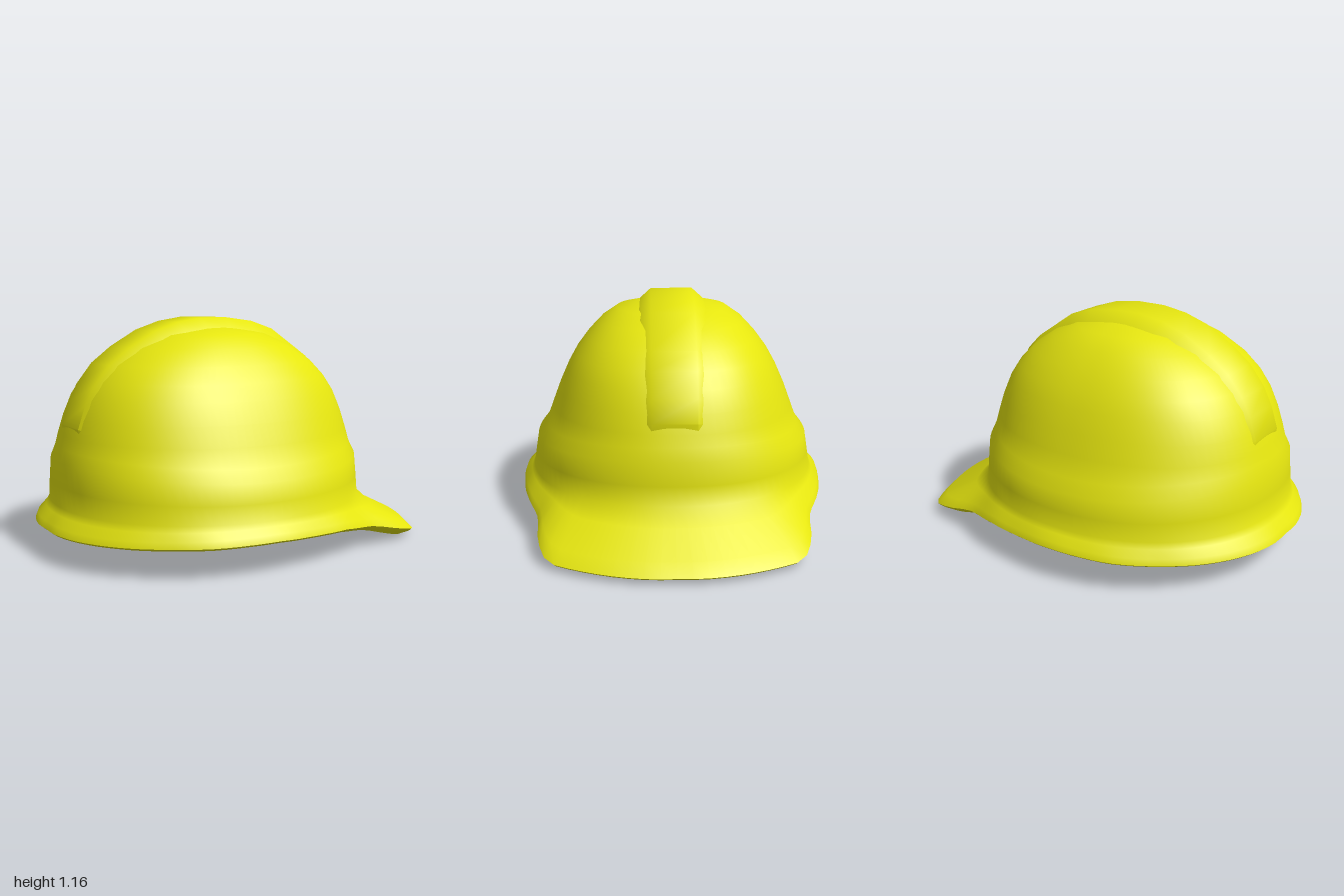
import * as THREE from 'three';
import { toCreasedNormals } from 'three/addons/utils/BufferGeometryUtils.js';

const CX = -0.12; // centre of the dome along x
const SEG = 96;

// Linear lookup in a list of [key, value] pairs
function lookup(table, k) {
  if (k <= table[0][0]) return table[0][1];
  for (let i = 1; i < table.length; i++) {
    const [k0, v0] = table[i - 1], [k1, v1] = table[i];
    if (k <= k1) return v0 + (v1 - v0) * (k - k0) / (k1 - k0);
  }
  return table[table.length - 1][1];
}

// Half outline of brim and peak, seen from above: [x, z]
const outline = [
  [1, 0], [1, 0.12], [0.97, 0.28], [0.92, 0.42], [0.85, 0.56], [0.8, 0.61], [0.68, 0.653],
  [0.5, 0.668], [0.4, 0.702], [0.25, 0.757], [0.1, 0.787], [0, 0.8], [-0.18, 0.81], [-0.33, 0.79],
  [-0.48, 0.75], [-0.67, 0.635], [-0.8, 0.525], [-0.9, 0.395], [-0.97, 0.25], [-1, 0.12], [-1, 0],
];
const brimRadius = outline.map(([x, z]) => [Math.atan2(z, x - CX), Math.hypot(x - CX, z)]);

// Height of the brim edge along x
const brimHeight = [[-1, 0.148], [-0.18, 0.166], [0.25, 0.152], [0.5, 0.117], [0.7, 0.07], [0.85, 0.036], [1, 0.034]];

// Dome levels: [y, back x, front x, half width, roundness, rise at front and back]
const levels = [
  [1.12, CX, CX, 0, 2, 0], [1.112, -0.27, 0.03, 0.17, 2.2, 0], [1.08, -0.42, 0.19, 0.29, 2.3, 0],
  [1.02, -0.565, 0.32, 0.375, 2.35, 0], [0.94, -0.685, 0.44, 0.45, 2.35, 0],
  [0.86, -0.75, 0.522, 0.51, 2.35, 0], [0.78, -0.805, 0.575, 0.555, 2.3, 0],
  [0.68, -0.848, 0.618, 0.6, 2.25, 0], [0.58, -0.876, 0.648, 0.638, 2.2, 0.01],
  [0.48, -0.893, 0.664, 0.675, 2.15, 0.05], [0.42, -0.918, 0.68, 0.722, 2.15, 0.05],
  [0.33, -0.925, 0.688, 0.737, 2.15, 0.02], [0.25, -0.93, 0.692, 0.75, 2.15, 0],
];

// Radius of a dome level in direction t, shrunk by an inset
function domeRadius([, back, front, width, n], t, inset = 0) {
  const a = (front - back) / 2 - inset, b = width - inset;
  if (a <= 0 || b <= 0) return 0;
  return (Math.abs(Math.cos(t) / a) ** n + Math.abs(Math.sin(t) / b) ** n) ** (-1 / n);
}

// One section of the shell from outer crown, over the brim, to inner crown: [radius, y]
function section(t) {
  const folded = Math.abs(Math.atan2(Math.sin(t), Math.cos(t)));
  const rDome = domeRadius(levels[levels.length - 1], t), rEdge = lookup(brimRadius, folded);
  const edgeY = lookup(brimHeight, CX + rEdge * Math.cos(t));
  const reach = rEdge - rDome;
  const pts = levels.map((l) => [domeRadius(l, t), l[0] + l[5] * Math.cos(t) ** 2]);
  // flare, rounded top, edge and underside of the brim
  const topY = edgeY + 0.025 + 0.1 * Math.min(reach, 0.3);
  pts.push([rDome + reach * 0.25, topY + (0.25 - topY) * 0.55]);
  pts.push([rDome + reach * 0.82, topY]);
  pts.push([rEdge, edgeY]);
  pts.push([rEdge - 0.012, edgeY - 0.01]);
  pts.push([rEdge - 0.045 - reach * 0.1, edgeY - 0.02 - reach * 0.04]);
  pts.push([rDome + reach * 0.25 - 0.02, topY + (0.25 - topY) * 0.4 - 0.02]);
  pts.push([rDome - 0.025, 0.235]);
  // smooth lining without the step of the headband
  for (let i = levels.length - 4; i > 0; i--) pts.push([domeRadius(levels[i], t, 0.022), levels[i][0] - 0.022]);
  pts.push([0, 1.095]);
  return pts;
}

// Joins a grid of points, rows of equal length, into a surface
function gridGeometry(rows, crease) {
  const pos = [], index = [], n = rows[0].length;
  rows.forEach((row) => row.forEach((p) => pos.push(...p)));
  for (let j = 0; j < rows.length - 1; j++) {
    for (let i = 0; i < n - 1; i++) {
      const a = j * n + i, b = a + n;
      index.push(a, b, a + 1, a + 1, b, b + 1);
    }
  }
  const geo = new THREE.BufferGeometry();
  geo.setAttribute('position', new THREE.Float32BufferAttribute(pos, 3));
  geo.setIndex(index);
  return toCreasedNormals(geo, crease);
}

// Crown line of the ridge, back to front, fading into the dome at both ends: [x, y]
const ridgeLine = [
  [-0.85, 0.55], [-0.868, 0.64], [-0.831, 0.75], [-0.785, 0.84], [-0.705, 0.94], [-0.6, 1.02],
  [-0.46, 1.1], [-0.33, 1.143], [-0.2, 1.163], [-0.05, 1.163], [0.1, 1.143], [0.23, 1.1], [0.45, 0.95],
  [0.53, 0.87], [0.597, 0.75], [0.635, 0.64], [0.62, 0.55],
];

export function createModel() {
  const group = new THREE.Group();
  group.name = 'hardHat';
  const yellow = new THREE.MeshStandardMaterial({ color: 0xe6e60f });

  // Shell with brim, peak and hollow inside
  const rows = [];
  for (let j = 0; j <= SEG; j++) {
    const t = (j / SEG) * Math.PI * 2;
    rows.push(section(t).map(([r, y]) => [CX + r * Math.cos(t), y, r * Math.sin(t)]));
  }
  const shell = new THREE.Mesh(gridGeometry(rows, 0.85), yellow);
  shell.name = 'shell';
  group.add(shell);

  // Raised ridge running over the crown, its flanks sunk into the shell
  const ridgeRows = ridgeLine.map(([x, y]) => {
    const sx = CX + (x - CX) * 0.93, sy = 0.4 + (y - 0.4) * 0.93;
    return [[sx, sy, 0.17], [x, y, 0.11], [x, y, -0.11], [sx, sy, -0.17]];
  });
  const ridge = new THREE.Mesh(gridGeometry(ridgeRows, 0.85), yellow);
  ridge.name = 'crownRidge';
  group.add(ridge);

  return group;
}
